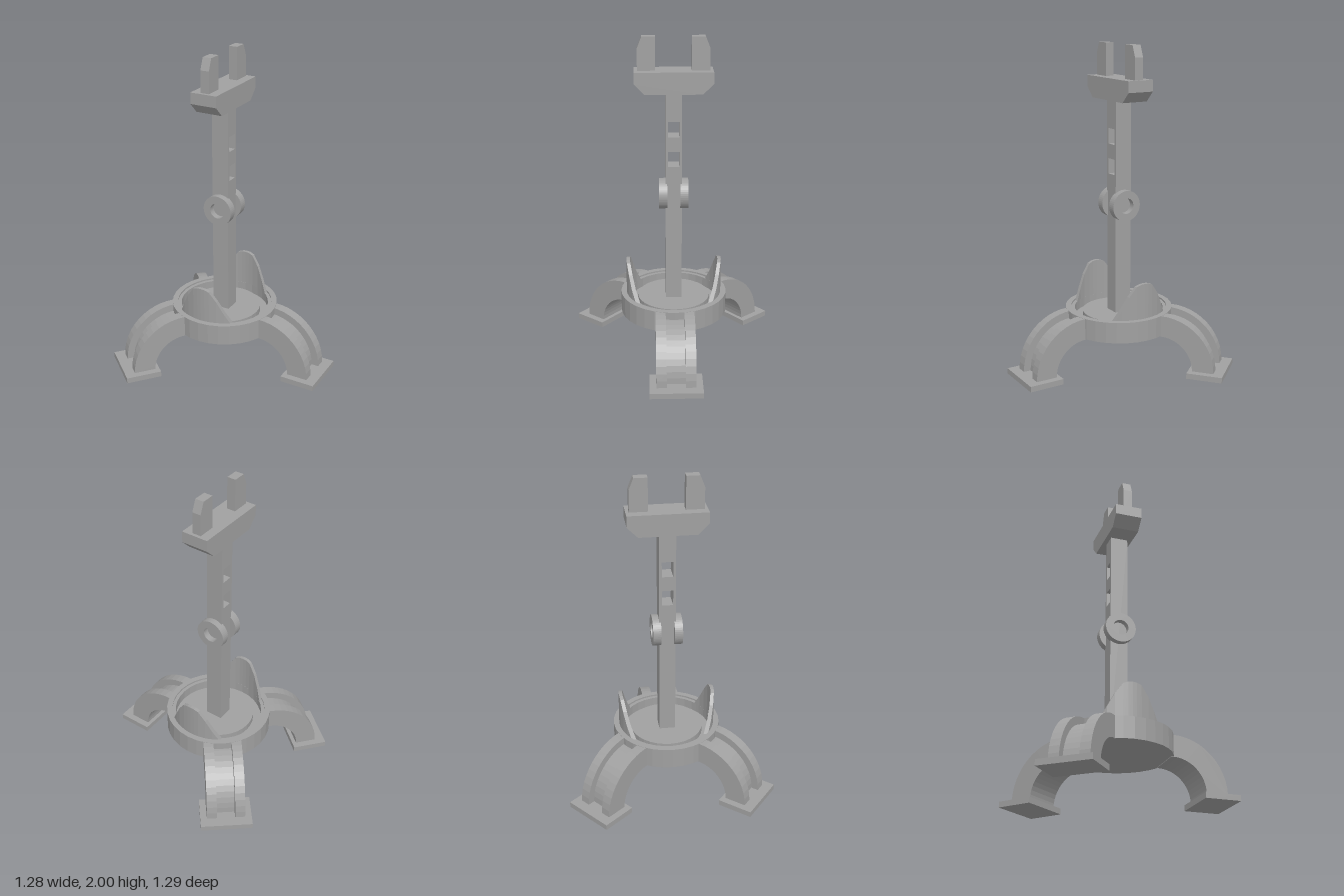
import * as THREE from 'three';

const AXIS_X = -0.067; // centre line of the post and base

const metal = new THREE.MeshStandardMaterial({ color: 0xa0a0a0 });
metal.name = 'grey metal';

// Flat facets for every part
function part(name, geometry, parent) {
  const g = geometry.index ? geometry.toNonIndexed() : geometry;
  g.computeVertexNormals();
  const mesh = new THREE.Mesh(g, metal);
  mesh.name = name;
  parent.add(mesh);
  return mesh;
}

function box(name, [x0, x1], [y0, y1], [z0, z1], parent) {
  const g = new THREE.BoxGeometry(x1 - x0, y1 - y0, z1 - z0);
  g.translate((x0 + x1) / 2, (y0 + y1) / 2, (z0 + z1) / 2);
  return part(name, g, parent);
}

const polygon = (pts) => new THREE.Shape(pts.map(([x, y]) => new THREE.Vector2(x, y)));

// Extrude a (z, y) outline along x, centred
function extrudeAlongX(shape, width) {
  const g = new THREE.ExtrudeGeometry(shape, { depth: width, bevelEnabled: false });
  g.translate(0, 0, -width / 2);
  return g.rotateY(-Math.PI / 2);
}

// Quarter-arch bar between two radii, extruded from z0 to z1
function archBar(inner, outer, z0, z1) {
  const cx = 0.31, cy = 0.034, start = 0.3, n = 12;
  const pts = [[start, cy + inner], [start, cy + outer]];
  const arc = (r, i) => {
    const a = (i / n) * Math.PI / 2;
    return [cx + r * Math.sin(a), cy + r * Math.cos(a)];
  };
  for (let i = 0; i <= n; i++) pts.push(arc(outer, i));
  for (let i = n; i >= 0; i--) pts.push(arc(inner, i));
  const g = new THREE.ExtrudeGeometry(polygon(pts), { depth: z1 - z0, bevelEnabled: false });
  return g.translate(0, 0, z0);
}

function makeLeg(angle) {
  const leg = new THREE.Group();
  leg.name = 'leg';
  part('legWeb', archBar(0.202, 0.29, -0.057, 0.057), leg);
  part('legRail', archBar(0.202, 0.335, 0.057, 0.119), leg);
  part('legRail', archBar(0.202, 0.335, -0.119, -0.057), leg);
  box('footPad', [0.487, 0.707], [0, 0.035], [-0.16, 0.16], leg);
  leg.rotation.y = angle;
  return leg;
}

// Curved upright plate: a slice of a thin cylinder wall with a tapering top
function finGeometry() {
  const half = [[0, 0.59], [0.025, 0.588], [0.055, 0.577], [0.1, 0.515], [0.14, 0.437], [0.18, 0.36]];
  const cols = [...half.slice(1).reverse().map(([x, y]) => [-x, y]), ...half];
  const base = 0.3, rOut = 0.3, rIn = 0.278;
  const pos = [], idx = [];
  for (const [x, y] of cols) {
    const zo = Math.sqrt(rOut * rOut - x * x), zi = Math.sqrt(rIn * rIn - x * x);
    pos.push(x, base, zo, x, y, zo, x, y, zi, x, base, zi);
  }
  for (let i = 0; i < cols.length - 1; i++) {
    for (let k = 0; k < 4; k++) {
      const a = i * 4 + k, d = i * 4 + (k + 1) % 4;
      idx.push(a, a + 4, d + 4, a, d + 4, d);
    }
  }
  const g = new THREE.BufferGeometry();
  g.setAttribute('position', new THREE.Float32BufferAttribute(pos, 3));
  g.setIndex(idx);
  return g;
}

export function createModel() {
  const model = new THREE.Group();
  model.name = 'stand';
  const body = new THREE.Group();
  body.name = 'body';
  body.position.x = AXIS_X;
  model.add(body);

  // Round base: stepped rim, recessed floor and raised centre disc
  const profile = [
    [0, 0.24], [0.335, 0.24], [0.335, 0.37], [0.3, 0.37], [0.3, 0.36], [0.278, 0.36],
    [0.278, 0.3], [0.228, 0.3], [0.228, 0.34], [0, 0.34],
  ].map(([r, y]) => new THREE.Vector2(r, y));
  part('base', new THREE.LatheGeometry(profile, 32), body);

  // Three arched legs
  for (const degrees of [0, 130, -130]) body.add(makeLeg(THREE.MathUtils.degToRad(degrees)));

  // Curved guard fins, front and back
  for (const turn of [0, Math.PI]) part('guardFin', finGeometry(), body).rotation.y = turn;

  // Post with two windows running side to side
  const post = polygon([[-0.05, 0.33], [0.05, 0.33], [0.05, 1.67], [-0.05, 1.67]]);
  for (const y of [1.215, 1.4]) {
    post.holes.push(polygon([[-0.034, y], [-0.034, y + 0.095], [0.034, y + 0.095], [0.034, y]]));
  }
  part('post', extrudeAlongX(post, 0.108), body);

  // Pivot rings on the front and back of the post
  for (const z of [0.04, -0.09]) {
    const ring = new THREE.Shape().absarc(0, 0, 0.095, 0, Math.PI * 2, false);
    ring.holes.push(new THREE.Path().absarc(0, 0, 0.048, 0, Math.PI * 2, true));
    const g = new THREE.ExtrudeGeometry(ring, { depth: 0.05, bevelEnabled: false, curveSegments: 24 });
    part('pivotRing', g.translate(0, 1.027, z), body);
  }

  // Cross head with chamfered lower edges
  const head = polygon([
    [-0.172, 1.668], [0.172, 1.668], [0.236, 1.732], [0.236, 1.8], [-0.236, 1.8], [-0.236, 1.732],
  ]);
  part('crossHead', extrudeAlongX(head, 0.168), body);

  // Pair of prongs, chamfered on the outside
  for (const s of [1, -1]) {
    const prong = polygon([
      [0.108 * s, 1.79], [0.216 * s, 1.79], [0.216 * s, 1.93], [0.188 * s, 2], [0.108 * s, 2],
    ]);
    part('prong', extrudeAlongX(prong, 0.055), body);
  }

  return model;
}
